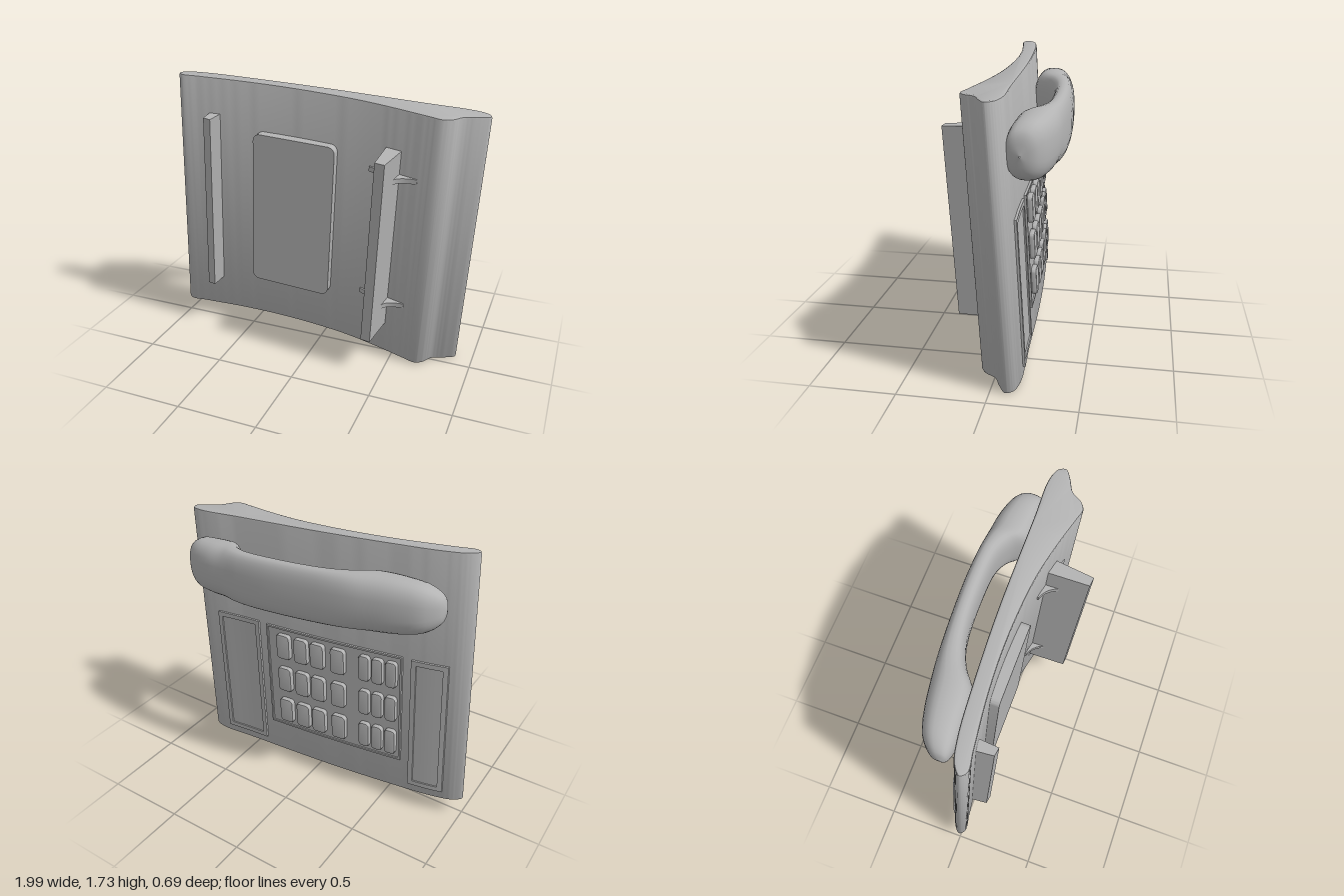
import * as THREE from 'three';
import { toCreasedNormals } from 'three/addons/utils/BufferGeometryUtils.js';

const grey = new THREE.MeshStandardMaterial({ color: 0xb3b3b3 });
grey.name = 'grey plastic';

const HALF = 0.812; // half height of the body

// Body outline in plan (x, z): front face first, then the convex keypad face
const outlinePoints = [
  [-0.95, 0.03], [-0.92, 0.064], [-0.8, 0.05], [-0.5, 0.014], [-0.18, 0], [0.195, 0.02], [0.44, 0.064],
  [0.635, 0.111], [0.715, 0.128], [0.765, 0.1], [0.81, 0.035], [0.89, -0.006],
  [0.945, -0.046], [0.925, -0.092], [0.84, -0.119], [0.57, -0.114], [-0.05, -0.103],
  [-0.5, -0.076], [-0.77, -0.049], [-0.9, -0.016],
];
const outline = new THREE.CatmullRomCurve3(
  outlinePoints.map(([x, z]) => new THREE.Vector3(x, 0, z)), true).getPoints(160);

// Depth of the keypad face at a given x
function backZ(x) {
  let best = 0;
  for (let i = 0; i < outline.length - 1; i++) {
    const a = outline[i], b = outline[i + 1];
    if ((a.x - x) * (b.x - x) > 0 || a.x === b.x) continue;
    best = Math.min(best, a.z + (b.z - a.z) * (x - a.x) / (b.x - a.x));
  }
  return best;
}

function mesh(geometry, name, crease = 0.6) {
  const m = new THREE.Mesh(crease ? toCreasedNormals(geometry, crease) : geometry, grey);
  m.name = name;
  return m;
}

// Extrude a plan (x, z) shape upwards from y0 to y1
function extrudeY(shape, y0, y1, bevel = 0) {
  const g = new THREE.ExtrudeGeometry(shape, {
    depth: y1 - y0 - 2 * bevel, bevelEnabled: bevel > 0, bevelThickness: bevel,
    bevelSize: bevel, bevelOffset: -bevel, bevelSegments: 2, curveSegments: 10,
  });
  return g.rotateX(Math.PI / 2).translate(0, y1 - bevel, 0);
}

const polygon = pts => new THREE.Shape(pts.map(([x, z]) => new THREE.Vector2(x, z)));

function roundedRect(w, h, r) {
  const s = new THREE.Shape(), x = w / 2, y = h / 2;
  s.absarc(x - r, y - r, r, 0, Math.PI / 2);
  s.absarc(-x + r, y - r, r, Math.PI / 2, Math.PI);
  s.absarc(-x + r, -y + r, r, Math.PI, Math.PI * 1.5);
  s.absarc(x - r, -y + r, r, Math.PI * 1.5, Math.PI * 2);
  return s;
}

// Plate that follows the curve of the keypad face
function curvedPlate(x0, x1, y0, y1, rise, name) {
  const n = 10, outer = [], inner = [];
  for (let i = 0; i <= n; i++) {
    const x = x0 + (x1 - x0) * i / n, z = backZ(x);
    outer.push([x, z - rise]);
    inner.unshift([x, z + 0.01]);
  }
  return mesh(extrudeY(polygon([...outer, ...inner]), y0, y1), name);
}

// Low plate with a raised rim
function framedPanel(x0, x1, y0, y1, rim, name) {
  const g = new THREE.Group();
  g.name = name;
  g.add(
    curvedPlate(x0, x1, y0, y1, 0.005, 'panelPlate'),
    curvedPlate(x0, x0 + rim, y0, y1, 0.014, 'panelRim'),
    curvedPlate(x1 - rim, x1, y0, y1, 0.014, 'panelRim'),
    curvedPlate(x0 + rim, x1 - rim, y0, y0 + rim, 0.014, 'panelRim'),
    curvedPlate(x0 + rim, x1 - rim, y1 - rim, y1, 0.014, 'panelRim'));
  return g;
}

function key(x, y, w, h) {
  const g = new THREE.ExtrudeGeometry(roundedRect(w, h, 0.025), {
    depth: 0.026, bevelThickness: 0.01, bevelSize: 0.012, bevelOffset: -0.012,
    bevelSegments: 2, curveSegments: 5,
  });
  const m = mesh(g, 'key', 0.5);
  const slope = (backZ(x + 0.05) - backZ(x - 0.05)) / 0.1;
  m.position.set(x, y, backZ(x));
  m.rotation.y = Math.PI - Math.atan(slope);
  return m;
}

// Handset lofted along x; stations: x, outer z, inner z, half height
function handset() {
  const stations = [
    [-0.845, -0.125, -0.12, 0.004], [-0.825, -0.185, -0.085, 0.075], [-0.75, -0.255, -0.065, 0.13],
    [-0.62, -0.298, -0.065, 0.157], [-0.45, -0.328, -0.08, 0.167], [-0.32, -0.345, -0.17, 0.167],
    [-0.16, -0.358, -0.228, 0.165], [0.16, -0.375, -0.253, 0.165], [0.38, -0.372, -0.239, 0.166],
    [0.47, -0.365, -0.193, 0.167], [0.54, -0.36, -0.118, 0.167], [0.65, -0.348, -0.108, 0.166],
    [0.78, -0.31, -0.108, 0.152], [0.84, -0.265, -0.115, 0.11], [0.866, -0.19, -0.185, 0.004],
  ];
  const spine = new THREE.CatmullRomCurve3(stations.map(([x, o, i]) => new THREE.Vector3(x, o, i)));
  const heights = new THREE.CatmullRomCurve3(stations.map(([x, , , h]) => new THREE.Vector3(x, h, 0)));
  const rings = 56, sides = 28, pos = [], index = [];
  const power = v => Math.sign(v) * Math.abs(v) ** 0.78;
  for (let i = 0; i <= rings; i++) {
    const p = spine.getPoint(i / rings), h = Math.max(heights.getPoint(i / rings).y, 0.003);
    for (let j = 0; j < sides; j++) {
      const a = j / sides * Math.PI * 2;
      pos.push(p.x, h * power(Math.cos(a)), (p.y + p.z) / 2 + (p.z - p.y) / 2 * power(Math.sin(a)));
      if (i === rings) continue;
      const k = (j + 1) % sides, a0 = i * sides + j, b0 = i * sides + k;
      index.push(a0, b0, a0 + sides, b0, b0 + sides, a0 + sides);
    }
  }
  const g = new THREE.BufferGeometry();
  g.setAttribute('position', new THREE.Float32BufferAttribute(pos, 3));
  g.setIndex(index);
  g.computeVertexNormals();
  const m = mesh(g, 'handset', 0);
  m.position.y = 0.515;
  return m;
}

export function createModel() {
  const root = new THREE.Group();
  root.name = 'deskTelephone';
  const phone = new THREE.Group();
  phone.name = 'phone';
  phone.position.y = 0.875;
  phone.rotation.set(0.045, 0, -0.06);
  root.add(phone);

  // Curved body
  const bodyShape = polygon(outline.slice(0, -1).map(p => [p.x, p.z]));
  phone.add(mesh(extrudeY(bodyShape, -HALF, HALF, 0.012), 'body'));

  // Rounded plate on the underside
  const plate = mesh(new THREE.ExtrudeGeometry(roundedRect(0.53, 1.02, 0.045),
    { depth: 0.085, bevelEnabled: false, curveSegments: 8 }), 'basePlate');
  plate.position.set(-0.175, 0, -0.02);
  phone.add(plate);

  // Short and long support legs
  phone.add(mesh(extrudeY(polygon([[-0.75, 0], [-0.675, 0], [-0.685, 0.15], [-0.735, 0.142]]), -0.585, 0.585), 'shortLeg'));
  phone.add(mesh(extrudeY(polygon([[0.395, 0.01], [0.5, 0.01], [0.465, 0.312], [0.405, 0.305]]), -0.6, 0.57), 'longLeg'));

  // Concave gussets bracing the long leg
  for (const y of [-0.424, 0.414]) {
    const s = new THREE.Shape();
    s.moveTo(0.3, 0.01);
    s.lineTo(0.3, 0.045);
    s.quadraticCurveTo(0.39, 0.07, 0.41, 0.175);
    s.lineTo(0.48, 0.175);
    s.quadraticCurveTo(0.5, 0.115, 0.605, 0.108);
    s.lineTo(0.605, 0.04);
    phone.add(mesh(extrudeY(s, y - 0.015, y + 0.015), 'gusset'));
  }

  // Panels on the keypad face
  phone.add(framedPanel(0.445, 0.77, -0.75, 0.14, 0.03, 'leftPanel'));
  phone.add(framedPanel(-0.84, -0.62, -0.75, 0.13, 0.03, 'rightPanel'));
  phone.add(framedPanel(-0.565, 0.385, -0.59, 0.135, 0.012, 'keypadPanel'));

  // Four wide and three narrow key columns
  for (const y of [0.01, -0.226, -0.462]) {
    for (const x of [0.25, 0.12, 0, -0.145]) phone.add(key(x, y, 0.1, 0.17));
    for (const x of [-0.325, -0.412, -0.5]) phone.add(key(x, y, 0.073, 0.17));
  }

  phone.add(handset());
  return root;
}
